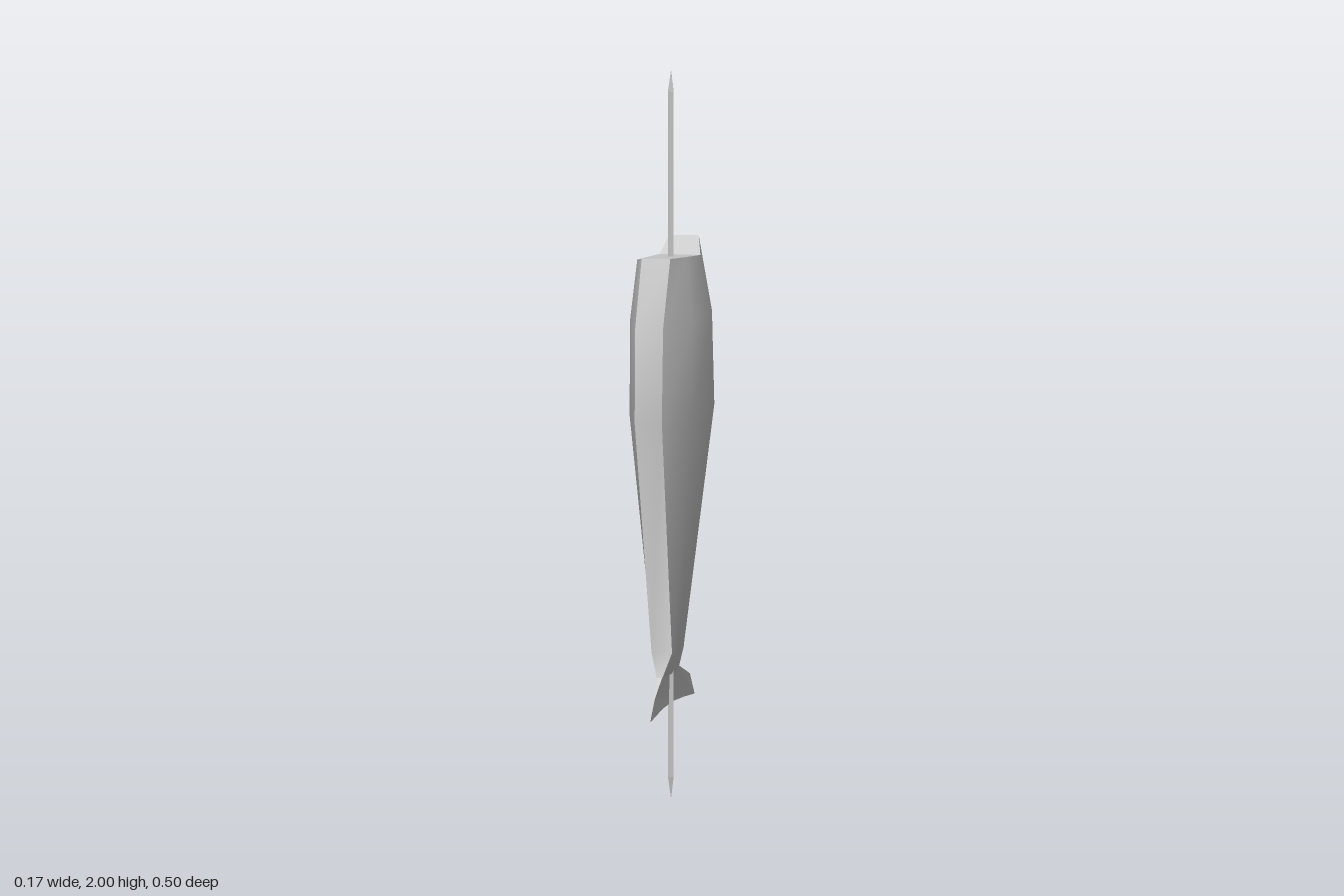
import * as THREE from 'three';
import { toCreasedNormals } from 'three/addons/utils/BufferGeometryUtils.js';

const material = new THREE.MeshStandardMaterial({ color: 0xcccccc });
const flat = new THREE.MeshStandardMaterial({ color: 0xcccccc, flatShading: true });

// Eight-sided body section, slightly skewed, starting at the front +x corner.
function section({ y, front, back, w, c, skew }) {
  const z = (t) => front + (back - front) * t;
  return [
    [c, y, front - skew], [w, y, z(0.37)], [w, y, z(0.87)], [c, y, back],
    [-c, y, back + skew], [-w, y, z(0.76)], [-w, y, z(0.28)], [-c, y, front],
  ];
}

function bodyGeometry() {
  const rings = [
    { y: 0.345, front: 0.145, back: 0.0, w: 0.013, c: 0.008, skew: 0.002 },
    { y: 0.41, front: 0.127, back: 0.016, w: 0.032, c: 0.028, skew: 0.006 },
    { y: 1.06, front: 0.252, back: -0.13, w: 0.084, c: 0.036, skew: 0.015 },
    { y: 1.32, front: 0.244, back: -0.108, w: 0.083, c: 0.037, skew: 0.015 },
  ].map(section);
  // Open mouth end: front jaw, sunken middle and raised back lip.
  rings.push([
    [0.037, 1.5, 0.165], [0.058, 1.492, 0.085], [0.058, 1.475, -0.038], [0.04, 1.52, -0.08],
    [-0.038, 1.52, -0.063], [-0.051, 1.475, -0.02], [-0.072, 1.483, 0.115], [-0.039, 1.5, 0.18],
  ]);
  const pos = [];
  const face = (...p) => {
    for (let i = 1; i < p.length - 1; i++) pos.push(...p[0], ...p[i], ...p[i + 1]);
  };
  for (let r = 0; r < rings.length - 1; r++) {
    const lo = rings[r], hi = rings[r + 1];
    for (let i = 0; i < 8; i++) {
      const j = (i + 1) % 8;
      face(lo[i], lo[j], hi[j], hi[i]);
    }
  }
  const m = rings[rings.length - 1];
  face(m[0], m[1], m[2], m[5], m[6], m[7]);
  face(m[2], m[3], m[4], m[5]);
  face(...rings[0].slice().reverse());
  const geo = new THREE.BufferGeometry();
  geo.setAttribute('position', new THREE.Float32BufferAttribute(pos, 3));
  return toCreasedNormals(geo, 0.52);
}

// Thin fin from a (z, y) outline; halfWidth(z, y) sets its thickness.
function finGeometry(outline, halfWidth) {
  const shape = new THREE.Shape(outline.map(([z, y]) => new THREE.Vector2(z, y)));
  const geo = new THREE.ExtrudeGeometry(shape, { depth: 2, bevelEnabled: false });
  geo.translate(0, 0, -1).rotateY(-Math.PI / 2);
  const p = geo.attributes.position;
  for (let i = 0; i < p.count; i++) p.setX(i, p.getX(i) * halfWidth(p.getZ(i), p.getY(i)));
  geo.computeVertexNormals();
  return geo;
}

export function createModel() {
  const group = new THREE.Group();
  const add = (name, geo, mat, x = 0, z = 0) => {
    const mesh = new THREE.Mesh(geo, mat);
    mesh.name = name;
    mesh.position.set(x, 0, z);
    group.add(mesh);
  };

  add('body', bodyGeometry(), material);

  // Dorsal fin tapers toward its tip
  add('dorsalFin', finGeometry(
    [[-0.08, 1.07], [-0.125, 1.075], [-0.25, 0.975], [-0.125, 0.828], [-0.07, 0.93]],
    (z) => THREE.MathUtils.mapLinear(z, -0.25, -0.08, 0.005, 0.013),
  ), flat, 0.003);

  // Crescent tail fin
  add('tailFin', finGeometry(
    [[0.13, 0.355], [0.2, 0.295], [0.24, 0.24], [0.13, 0.257], [0.04, 0.262],
      [-0.06, 0.256], [-0.157, 0.247], [-0.115, 0.31], [0.0, 0.355]],
    (z, y) => (y > 0.34 ? 0.007 : 0.004),
  ), flat);

  // Five-sided skewer, pointed at both ends
  const profile = [[0, 0], [0.0085, 0.06], [0.0085, 1.94], [0, 2]]
    .map(([r, y]) => new THREE.Vector2(r, y));
  add('skewer', new THREE.LatheGeometry(profile, 5), flat, 0.008, 0.066);

  return group;
}
